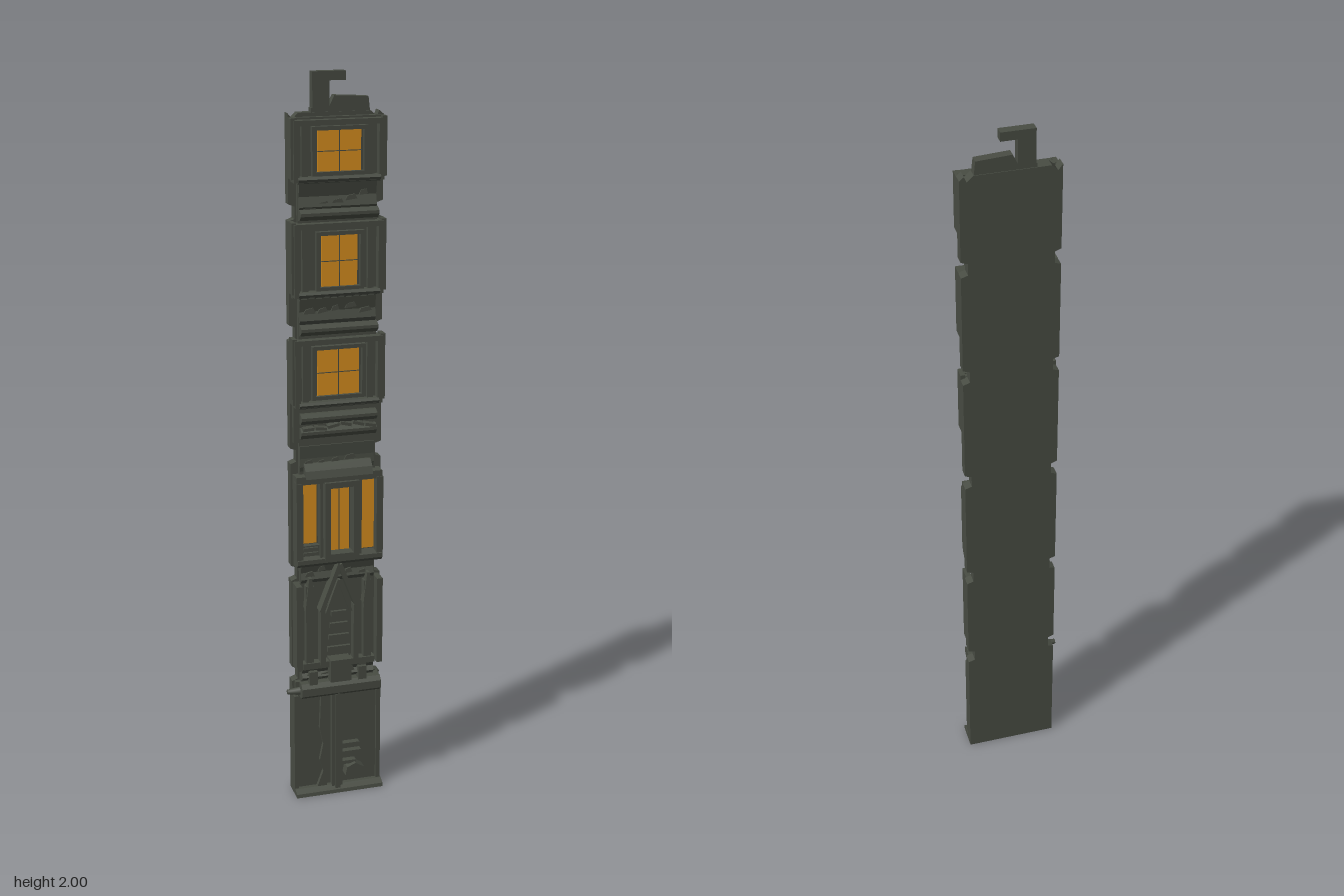
import * as THREE from 'three';

export function createModel() {
  const stone = new THREE.MeshStandardMaterial({ color: 0x484c43 });
  stone.name = 'dark stone';
  const amber = new THREE.MeshStandardMaterial({ color: 0xd98f1f });
  amber.name = 'amber glass';
  const model = new THREE.Group();
  model.name = 'facadeStrip';
  let seed = 7;
  const rand = () => (seed = (seed * 16807) % 2147483647) / 2147483647;

  function add(geo, name, mat = stone) {
    const mesh = new THREE.Mesh(geo, mat);
    mesh.name = name;
    model.add(mesh);
    return mesh;
  }
  // Box given by its limits
  function box(name, x0, x1, y0, y1, z0, z1, mat) {
    const m = add(new THREE.BoxGeometry(x1 - x0, y1 - y0, z1 - z0), name, mat);
    m.position.set((x0 + x1) / 2, (y0 + y1) / 2, (z0 + z1) / 2);
    return m;
  }
  // Slanted bar between two points on the front
  function bar(name, xa, ya, xb, yb, w, z0, z1) {
    const m = add(new THREE.BoxGeometry(w, Math.hypot(xb - xa, yb - ya), z1 - z0), name);
    m.position.set((xa + xb) / 2, (ya + yb) / 2, (z0 + z1) / 2);
    m.rotation.z = -Math.atan2(xb - xa, yb - ya);
  }
  // Flat outline pushed forward from z0 to z1
  function slab(name, pts, z0, z1) {
    const shape = new THREE.Shape(pts.map(p => new THREE.Vector2(...p)));
    const geo = new THREE.ExtrudeGeometry(shape, { depth: z1 - z0, bevelEnabled: false });
    return add(geo.translate(0, 0, z0), name);
  }
  // Bar across the width with a (z, y) profile
  function moulding(name, x0, x1, profile) {
    const shape = new THREE.Shape(profile.map(([z, y]) => new THREE.Vector2(-z, y)));
    const geo = new THREE.ExtrudeGeometry(shape, { depth: x1 - x0, bevelEnabled: false });
    geo.rotateY(Math.PI / 2).translate(x0, 0, 0);
    add(geo, name);
  }
  // Picture frame: two posts and two rails
  function frame(name, x0, x1, y0, y1, w, z0, z1) {
    box(name + 'Left', x0, x0 + w, y0, y1, z0, z1);
    box(name + 'Right', x1 - w, x1, y0, y1, z0, z1);
    box(name + 'Bottom', x0 + w, x1 - w, y0, y0 + w, z0, z1);
    box(name + 'Top', x0 + w, x1 - w, y1 - w, y1, z0, z1);
  }

  // Back plate with notched edges and a broken top
  const notches = [0.365, 0.665, 1.0, 1.335, 1.65];
  const right = [], left = [];
  for (const y of notches) {
    right.push([0.13, y - 0.022], [0.112, y - 0.016], [0.112, y + 0.016], [0.13, y + 0.022]);
    left.push([-0.122, y - 0.022], [-0.106, y - 0.016], [-0.106, y + 0.016], [-0.122, y + 0.022]);
  }
  slab('backPlate', [[-0.122, 0], [0.13, 0], ...right, [0.13, 1.89], [0.118, 1.9], [0.112, 1.885],
    [0.095, 1.9], [-0.095, 1.9], [-0.11, 1.885], [-0.122, 1.9], ...left.reverse()], -0.042, -0.014);
  const body = [];
  for (const s of [1, -1]) {
    const cuts = [[0, .345, .12], [.345, .39, .105], [.39, .64, .12], [.64, .69, .105], [.69, .95, .12],
      [.95, 1.04, .105], [1.04, 1.32, .12], [1.32, 1.43, .105], [1.43, 1.625, .12], [1.625, 1.73, .105], [1.73, 1.89, .12]];
    if (s < 0) cuts.reverse();
    for (const [a, b, x] of cuts) body.push([s * x + 0.004, s > 0 ? a : b], [s * x + 0.004, s > 0 ? b : a]);
  }
  slab('wallCore', body, -0.014, 0.0);

  // Broken crest and hook
  slab('crest', [[-0.06, 1.89], [0.095, 1.89], [0.09, 1.935], [0.0, 1.94], [-0.012, 1.915], [-0.06, 1.91]], -0.04, -0.016);
  slab('hook', [[-0.057, 1.9], [-0.012, 1.9], [-0.012, 1.977], [0.03, 1.977], [0.03, 2], [-0.057, 2]], -0.04, -0.016);

  // Sloping rubble bands between storeys
  const bands = [[1.655, 1.73, .014], [1.36, 1.43, .012], [.96, 1.03, .004], [.64, .7, .012], [.35, .395, .018]];
  for (const [a, b, d] of bands) {
    moulding('slopedBand', -0.1, 0.105, [[-.005, a], [d * 0.3, a], [d, a + .012], [d * .4, (a + b) / 2], [d, b], [-.005, b]]);
    for (let i = 0; i < 5; i++) {
      const x = -0.09 + i * 0.037, y = a + (b - a) * rand() * 0.6, w = 0.02 + rand() * 0.018;
      slab('rubbleChip', [[x, y], [x + w, y + .006 * rand()], [x + w * .8, y + .016], [x + w * .2, y + .012]], 0, d * 0.6 + .003);
    }
  }

  // Upper storeys: frame, inner reveal and glowing window
  const storeys = [
    { y0: 1.73, y1: 1.885, win: [-0.05, 0.065, 1.752, 1.858] },
    { y0: 1.435, y1: 1.625, win: [-0.04, 0.056, 1.456, 1.592] },
    { y0: 1.14, y1: 1.322, win: [-0.052, 0.062, 1.165, 1.292] },
  ];
  for (const { y0, y1, win: [a, b, c, d] } of storeys) {
    frame('storeyFrame', -0.116, 0.122, y0, y1, 0.014, -0.002, 0.022);
    frame('windowReveal', a - 0.016, b + 0.016, c - 0.008, d + 0.01, 0.01, -0.002, 0.014);
    box('window', a, b, c, d, 0, 0.004, amber);
    box('windowMullion', (a + b) / 2 - .001, (a + b) / 2 + .001, c, d, 0, 0.006);
    box('windowTransom', a, b, (c + d) / 2 - .001, (c + d) / 2 + .001, 0, 0.006);
    for (const x of [-0.085, 0.09]) box('sidePier', x - .008, x + .008, y0 + .014, y1 - .014, -.002, 0.012);
    for (const x of [-0.122, 0.13]) box('edgePost', x - (x > 0 ? .012 : 0), x + (x > 0 ? 0 : .012), y0 + .008, y1 + .004, -.016, 0.016);
    moulding('sill', -0.105, 0.112, [[0, y0 - .006], [.02, y0 - .002], [.027, y0 + .008], [.022, y0 + .014], [0, y0 + .014]]);
  }
  // Cornices over and under the storeys
  for (const [y, z] of [[1.645, .026], [1.345, .026], [1.105, .024], [1.065, .02]]) {
    moulding('cornice', -0.1, 0.108, [[-.004, y - .014], [z * .5, y - .012], [z, y], [z, y + .008], [z * .4, y + .016], [-.004, y + .016]]);
  }
  for (let i = 0; i < 6; i++) {
    const x = -0.095 + i * 0.034, y = 1.075 + rand() * 0.02;
    bar('corniceChip', x, y, x + 0.03, y + (rand() - .5) * .02, 0.008, 0, 0.022);
  }

  // Hall storey: three tall windows between piers
  box('hallLintel', -0.116, 0.122, 0.93, 0.952, -.002, 0.027);
  moulding('hallCornice', -0.09, 0.095, [[-.004, .945], [.03, .945], [.022, .965], [.006, .982], [-.004, .985]]);
  moulding('hallSill', -0.116, 0.122, [[-.004, .69], [.024, .695], [.034, .705], [.034, .717], [-.004, .722]]);
  for (const [a, b, c, d] of [[-.093, -.055, .755, .928], [-.022, .036, .727, .907], [.066, .106, .725, .93]])
    box('hallWindow', a, b, c, d, 0, 0.004, amber);
  box('hallWindowMullion', 0.006, 0.008, 0.727, 0.907, 0, 0.006);
  for (const x of [-0.108, 0.115]) box('hallOuterPier', x - .009, x + .009, .715, .935, -.002, .03);
  box('leftWindowSill', -.098, -.05, .722, .752, 0, .016);
  for (const y of [.728, .742]) box('leftSillRib', -.096, -.055, y, y + .006, .01, .022);
  frame('hallDoorFrame', -.04, .056, .712, .932, .016, -.002, .036);
  for (const x of [-.047, .061]) box('hallInnerPier', x - .004, x + .004, .715, .93, -.002, .026);

  // Gabled shrine storey
  for (const s of [-1, 1]) {
    const c = 0.003;
    bar('gableRafter', c, .695, c + s * .052, .56, .012, 0, .032);
    bar('innerRafter', c, .645, c + s * .034, .55, .008, 0, .022);
    box('shrinePost', c + s * .047 - .007, c + s * .047 + .007, .40, .57, 0, .028);
    box('outerButtress', c + s * .082 - .011, c + s * .082 + .011, .405, .635, 0, .02);
    slab('buttressCap', [[c + s * .082 - .014, .57], [c + s * .082 + .014, .57], [c + s * .082 + .004, .66], [c + s * .082 - .004, .66]], 0, .027);
    box('edgeButtress', c + s * .114 - .008, c + s * .114 + .008, .39, .64, -.016, .03);
  }
  slab('shrinePanel', [[-.034, .42], [.04, .42], [.04, .56], [.003, .64], [-.034, .56]], 0, .013);
  for (const y of [.435, .47, .505, .54]) box('shrineStep', -.03 + (y - .43) * .1, .036 - (y - .43) * .1, y, y + .014, .01, .022);
  box('shrineBase', -.1, .105, .39, .408, 0, .025);
  box('shrineKeystone', -.026, .034, .35, .415, 0, .04);

  // Ledge with a stub on one end
  moulding('ledge', -.105, .122, [[-.01, .302], [.02, .302], [.032, .312], [.032, .334], [.02, .345], [-.01, .345]]);
  const stub = add(new THREE.CylinderGeometry(.007, .012, .036, 8), 'ledgeStub');
  stub.rotation.z = Math.PI / 2;
  stub.position.set(-.122, .318, 0);
  for (const x of [-.07, .07]) box('ledgeBracket', x - .012, x + .012, .335, .38, 0, .024);

  // Base wall: central post, cracked rib, pipes and foot
  box('basePost', -.016, .014, .01, .305, -.002, .018);
  box('basePostRidge', -.008, .006, .01, .305, .015, .026);
  slab('crackedRib', [[-.058, .015], [-.03, .015], [-.024, .06], [-.034, .1], [-.026, .14], [-.038, .19], [-.03, .3],
    [-.046, .3], [-.05, .2], [-.04, .15], [-.05, .1], [-.04, .065]], -.002, .012);
  for (const [y, w] of [[.14, .05], [.115, .055], [.085, .04]]) box('basePipe', .014, .014 + w, y - .005, y + .005, 0, .018);
  slab('rubblePile', [[.02, .05], [.065, .045], [.075, .07], [.05, .085], [.025, .075]], 0, .03);
  for (const x of [-.116, .122]) box('baseEdge', x - .006, x + .006, .01, .305, -.015, .008);
  moulding('foot', -.122, .13, [[-.04, 0], [.032, 0], [.03, .01], [.012, .018], [-.04, .018]]);
  return model;
}
